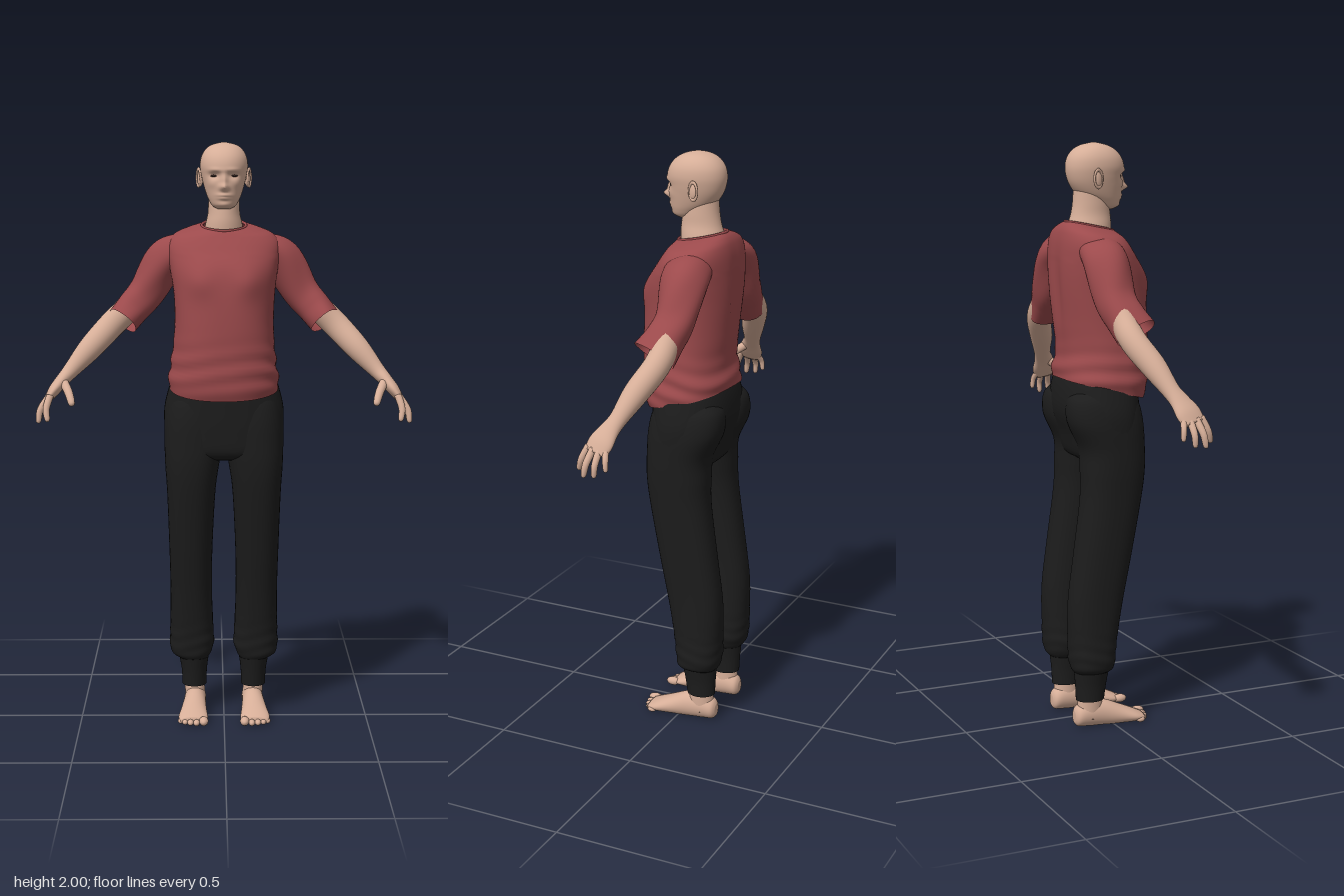
import * as THREE from 'three';

const mat = (name, color, side = THREE.FrontSide) => {
  const m = new THREE.MeshStandardMaterial({ color, side });
  m.name = name;
  return m;
};
const Y = new THREE.Vector3(0, 1, 0), Z = new THREE.Vector3(0, 0, 1), BACK = new THREE.Vector3(0, 0, -1);

// Catmull-Rom blend of whole section rows
function sample(rows, t) {
  const n = rows.length - 1, i = Math.min(Math.floor(t), n - 1), f = t - i;
  const p = k => rows[Math.max(0, Math.min(n, k))];
  return rows[i].map((_, k) => {
    const [a, b, c, d] = [p(i - 1)[k], p(i)[k], p(i + 1)[k], p(i + 2)[k]];
    return b + 0.5 * f * (c - a + f * (2 * a - 5 * b + 4 * c - d + f * (3 * (b - c) + d - a)));
  });
}

// Smooth skin over sections [x, y, z, half width, half depth, tilt]
function loft(rows, { seg = 32, steps = 5, ref = Z, dir = null, pow = 2, caps = true, warp = null } = {}) {
  const pos = [], idx = [], n = (rows.length - 1) * steps;
  const at = t => new THREE.Vector3(...sample(rows, t).slice(0, 3));
  const bend = v => Math.sign(v) * Math.abs(v) ** (2 / pow);
  for (let i = 0; i <= n; i++) {
    const t = i / steps, r = sample(rows, t), c = at(t);
    const T = dir ?? at(Math.min(t + 0.1, rows.length - 1)).sub(at(Math.max(t - 0.1, 0))).normalize();
    const V = ref.clone().addScaledVector(T, -ref.dot(T)).normalize();
    const U = V.clone().cross(T);
    for (let j = 0; j < seg; j++) {
      const ang = j / seg * Math.PI * 2, s = bend(Math.sin(ang)) * r[4];
      const p = c.clone().addScaledVector(U, bend(Math.cos(ang)) * r[3])
        .addScaledVector(V, s).addScaledVector(T, (r[5] ?? 0) * s);
      if (warp) warp(p, ang, c);
      pos.push(p.x, p.y, p.z);
    }
  }
  for (let i = 0; i < n; i++) for (let j = 0; j < seg; j++) {
    const a = i * seg + j, b = i * seg + (j + 1) % seg;
    idx.push(a, b, a + seg, b, b + seg, a + seg);
  }
  if (caps) for (const end of [0, n]) {
    const c = pos.length / 3, m = at(end / steps);
    if (warp) warp(m, 0, m.clone());
    pos.push(m.x, m.y, m.z);
    for (let j = 0; j < seg; j++) {
      const a = end * seg + j, b = end * seg + (j + 1) % seg;
      idx.push(...(end ? [c, a, b] : [c, b, a]));
    }
  }
  const g = new THREE.BufferGeometry();
  g.setAttribute('position', new THREE.Float32BufferAttribute(pos, 3));
  g.setIndex(idx);
  g.computeVertexNormals();
  return g;
}

// Level section from its extents: height, x from/to, front z, back z, tilt
const span = (y, x0, x1, zf, zb, tilt = 0) =>
  [(x0 + x1) / 2, y, (zf + zb) / 2, Math.abs(x1 - x0) / 2, (zf - zb) / 2, tilt];
const level = (y, a, zf, zb, tilt) => span(y, -a, a, zf, zb, tilt);
const upright = { ref: BACK, dir: Y };
const bump = (p, x, y, sx, sy) => Math.exp(-(((p.x - x) / sx) ** 2) - ((p.y - y) / sy) ** 2);

export function createModel() {
  const model = new THREE.Group();
  const skin = mat('skin', 0xd6ae98), dark = mat('eye dark', 0x3d2c28);
  const shirt = mat('red cloth', 0x9c4a4c, THREE.DoubleSide);
  const black = mat('black cloth', 0x1c1c1c, THREE.DoubleSide);
  const add = (name, geo, m) => {
    const mesh = new THREE.Mesh(geo, m);
    mesh.name = name;
    model.add(mesh);
    return mesh;
  };
  const ball = (name, m, at, size) => {
    const mesh = add(name, new THREE.SphereGeometry(1, 20, 14), m);
    mesh.position.set(...at);
    mesh.scale.set(...size);
    return mesh;
  };

  // Head with sculpted face
  const face = p => {
    if (p.z < 0.02) return;
    p.z += 0.014 * bump(p, 0, 1.868, 0.009, 0.024) + 0.022 * bump(p, 0, 1.849, 0.014, 0.011);
    p.z += 0.008 * bump(p, 0, 1.823, 0.022, 0.006) + 0.007 * bump(p, 0, 1.812, 0.018, 0.005);
    p.z += 0.005 * bump(p, 0, 1.79, 0.02, 0.01);
    for (const s of [-1, 1]) {
      p.z += 0.005 * bump(p, s * 0.03, 1.906, 0.024, 0.007) - 0.011 * bump(p, s * 0.032, 1.888, 0.018, 0.011);
      p.z += 0.004 * bump(p, s * 0.043, 1.86, 0.016, 0.014);
    }
  };
  add('head', loft([
    level(1.777, 0.022, 0.05, 0.005), level(1.788, 0.04, 0.069, -0.02), level(1.808, 0.052, 0.076, -0.05),
    level(1.83, 0.061, 0.08, -0.08), level(1.86, 0.07, 0.082, -0.102), level(1.89, 0.077, 0.085, -0.113),
    level(1.92, 0.081, 0.088, -0.116), level(1.95, 0.077, 0.078, -0.109), level(1.975, 0.063, 0.056, -0.09),
    level(1.991, 0.041, 0.026, -0.062), level(2.0, 0.004, -0.014, -0.022),
  ], { ...upright, seg: 80, steps: 7, pow: 2.1, warp: face }), skin);
  add('neck', loft([
    level(1.65, 0.075, 0.035, -0.115), level(1.72, 0.064, 0.042, -0.11), level(1.76, 0.055, 0.04, -0.099),
    level(1.8, 0.053, 0.034, -0.092), level(1.86, 0.05, 0.02, -0.088),
  ], upright), skin);

  // Shirt body with bust and gathered folds above the hem
  const drape = (p, ang, c) => {
    const low = Math.exp(-(((p.y - 1.24) / 0.07) ** 2));
    const f = 1 + low * 0.022 * Math.sin(p.y * 95 + 1.5 * Math.sin(2 * ang) + 2 * Math.sin(ang))
      + 0.008 * Math.sin(5 * ang + p.y * 14) * (p.y < 1.62 ? 1 : 0.3);
    p.x = c.x + (p.x - c.x) * f;
    p.z = c.z + (p.z - c.z) * f;
    if (p.z > 0.03) {
      for (const s of [-1, 1]) p.z += 0.014 * bump(p, s * 0.085, 1.535, 0.05, 0.05);
    } else if (p.z < -0.06) p.z += 0.012 * bump(p, 0, 1.5, 0.03, 0.13);
  };
  add('shirt body', loft([
    level(1.173, 0.186, 0.14, -0.148, 0.26), level(1.21, 0.188, 0.152, -0.148, 0.18),
    level(1.3, 0.175, 0.156, -0.138, 0.05), level(1.4, 0.169, 0.157, -0.148), level(1.5, 0.173, 0.15, -0.158),
    level(1.58, 0.184, 0.132, -0.16), level(1.65, 0.192, 0.092, -0.155, 0.05),
    level(1.69, 0.17, 0.068, -0.146, 0.1), level(1.709, 0.125, 0.058, -0.134, 0.16),
    level(1.721, 0.077, 0.05, -0.119, 0.2),
  ], { ...upright, seg: 72, steps: 8, pow: 2.3, caps: false, warp: drape }), shirt);
  const collar = Array.from({ length: 32 }, (_, i) => {
    const a = i / 32 * Math.PI * 2;
    return new THREE.Vector3(0.075 * Math.cos(a), 1.721 - 0.017 * Math.sin(a), -0.034 + 0.083 * Math.sin(a));
  });
  add('collar', new THREE.TubeGeometry(new THREE.CatmullRomCurve3(collar, true), 64, 0.005, 8, true), shirt);

  // Trouser seat
  add('trouser seat', loft([
    level(0.925, 0.12, 0.07, -0.07), level(0.95, 0.195, 0.108, -0.104), level(1.02, 0.204, 0.115, -0.125),
    level(1.1, 0.205, 0.115, -0.15), level(1.18, 0.186, 0.112, -0.146), level(1.25, 0.165, 0.1, -0.125),
  ], { ...upright, seg: 48, pow: 2.4 }), black);

  for (const s of [-1, 1]) {
    const side = s > 0 ? 'left' : 'right';
    const flip = rows => rows.map(([x, ...rest]) => [s * x, ...rest]);

    // Ear: lobe and rim
    ball(side + 'Ear', skin, [s * 0.08, 1.878, -0.036], [0.009, 0.029, 0.017]).rotation.set(-0.15, s * -0.35, 0);
    const rim = add(side + 'EarRim', new THREE.TorusGeometry(0.018, 0.004, 8, 24), skin);
    rim.position.set(s * 0.086, 1.881, -0.039);
    rim.rotation.set(0, Math.PI / 2 - s * 0.35, 0);
    rim.scale.y = 1.6;
    ball(side + 'Eye', dark, [s * 0.032, 1.887, 0.062], [0.015, 0.0045, 0.0085]).rotation.y = s * 0.3;

    // Sleeve
    add(side + 'Sleeve', loft(flip([
      [0.12, 1.645, -0.05, 0.05, 0.075], [0.195, 1.607, -0.06, 0.068, 0.078], [0.262, 1.497, -0.06, 0.063, 0.068],
      [0.31, 1.44, -0.045, 0.06, 0.068], [0.347, 1.395, -0.025, 0.056, 0.078],
    ]), {
      seg: 40, steps: 8, caps: false, warp: (p, ang, c) => {
        p.sub(c).multiplyScalar(1 + 0.03 * Math.sin(4 * ang + c.y * 25)).add(c);
      },
    }), shirt);

    // Forearm and palm
    add(side + 'Arm', loft(flip([
      [0.25, 1.53, -0.06, 0.045, 0.045], [0.33, 1.435, -0.062, 0.045, 0.043], [0.39, 1.375, -0.056, 0.045, 0.043],
      [0.46, 1.3, -0.018, 0.041, 0.041], [0.522, 1.23, 0.012, 0.028, 0.03], [0.552, 1.197, 0.03, 0.023, 0.035],
      [0.58, 1.163, 0.045, 0.02, 0.045], [0.602, 1.132, 0.056, 0.012, 0.04],
    ])), skin);

    // Fingers and thumb: base, middle, tip
    [
      ['Thumb', [0.548, 1.195, 0.045], [0.527, 1.162, 0.09], [0.512, 1.122, 0.126], 0.0145],
      ['IndexFinger', [0.59, 1.15, 0.084], [0.602, 1.108, 0.104], [0.597, 1.066, 0.118], 0.0115],
      ['MiddleFinger', [0.595, 1.145, 0.065], [0.624, 1.102, 0.076], [0.632, 1.056, 0.084], 0.0115],
      ['RingFinger', [0.595, 1.145, 0.043], [0.626, 1.103, 0.044], [0.631, 1.06, 0.046], 0.011],
      ['LittleFinger', [0.588, 1.15, 0.024], [0.612, 1.118, 0.014], [0.618, 1.08, 0.01], 0.01],
    ].forEach(([name, a, b, c, r]) => {
      const near = b.map((v, k) => v + (c[k] - v) * 0.8);
      add(side + name, loft(flip([
        [...a, r * 1.1, r * 1.1], [...b, r, r], [...near, r * 0.8, r * 0.8], [...c, r * 0.3, r * 0.3],
      ]), { seg: 14 }), skin);
    });

    // Trouser leg and gathered cuff
    add(side + 'TrouserLeg', loft([
      [0.198, 0.055, 0.16, -0.012, -0.138], [0.215, 0.045, 0.184, -0.003, -0.15], [0.25, 0.035, 0.191, 0.002, -0.157],
      [0.32, 0.038, 0.189, 0.01, -0.16], [0.45, 0.042, 0.188, 0.032, -0.16], [0.6, 0.04, 0.191, 0.062, -0.141],
      [0.8, 0.03, 0.197, 0.099, -0.113], [0.9, 0.017, 0.203, 0.112, -0.109], [0.98, 0.003, 0.205, 0.113, -0.113],
      [1.07, 0.002, 0.204, 0.108, -0.153], [1.14, 0.01, 0.19, 0.09, -0.153], [1.18, 0.03, 0.16, 0.05, -0.12],
    ].map(([y, x0, x1, zf, zb]) => span(y, s * x0, s * x1, zf, zb)), {
      ...upright, seg: 40, steps: 7, pow: 2.35, warp: (p, ang, c) => {
        const f = 1 + 0.018 * Math.exp(-(((p.y - 0.27) / 0.07) ** 2)) * Math.sin(p.y * 130 + 2 * Math.sin(2 * ang));
        p.x = c.x + (p.x - c.x) * f;
        p.z = c.z + (p.z - c.z) * f;
      },
    }), black);
    add(side + 'Cuff', loft([
      span(0.095, s * 0.062, s * 0.147, -0.03, -0.13), span(0.15, s * 0.06, s * 0.15, -0.022, -0.133),
      span(0.205, s * 0.053, s * 0.16, -0.012, -0.138),
    ], { ...upright, caps: false }), black);

    // Ankle, foot and toes
    add(side + 'Ankle', loft([
      span(0.03, s * 0.067, s * 0.137, -0.03, -0.13), span(0.08, s * 0.068, s * 0.138, -0.035, -0.124),
      span(0.14, s * 0.07, s * 0.138, -0.045, -0.122),
    ], upright), skin);
    add(side + 'Foot', loft(flip([
      [0.1, 0.035, -0.138, 0.015, 0.02], [0.1, 0.038, -0.126, 0.032, 0.036], [0.101, 0.044, -0.09, 0.037, 0.046],
      [0.103, 0.04, -0.03, 0.039, 0.047], [0.106, 0.028, 0.03, 0.045, 0.035], [0.108, 0.019, 0.08, 0.051, 0.022],
      [0.107, 0.014, 0.112, 0.044, 0.012],
    ]), { ref: Y, dir: Z, warp: p => { p.y = Math.max(p.y, 0); } }), skin);
    [[0.071, 0.117, 0.016], [0.096, 0.121, 0.0115], [0.117, 0.116, 0.011], [0.136, 0.107, 0.0105], [0.151, 0.094, 0.01]]
      .forEach(([x, z, r], i) => ball(side + 'Toe' + (i + 1), skin, [s * x, r * 0.95, z], [r, r * 0.95, r * 1.6]));
  }
  return model;
}
